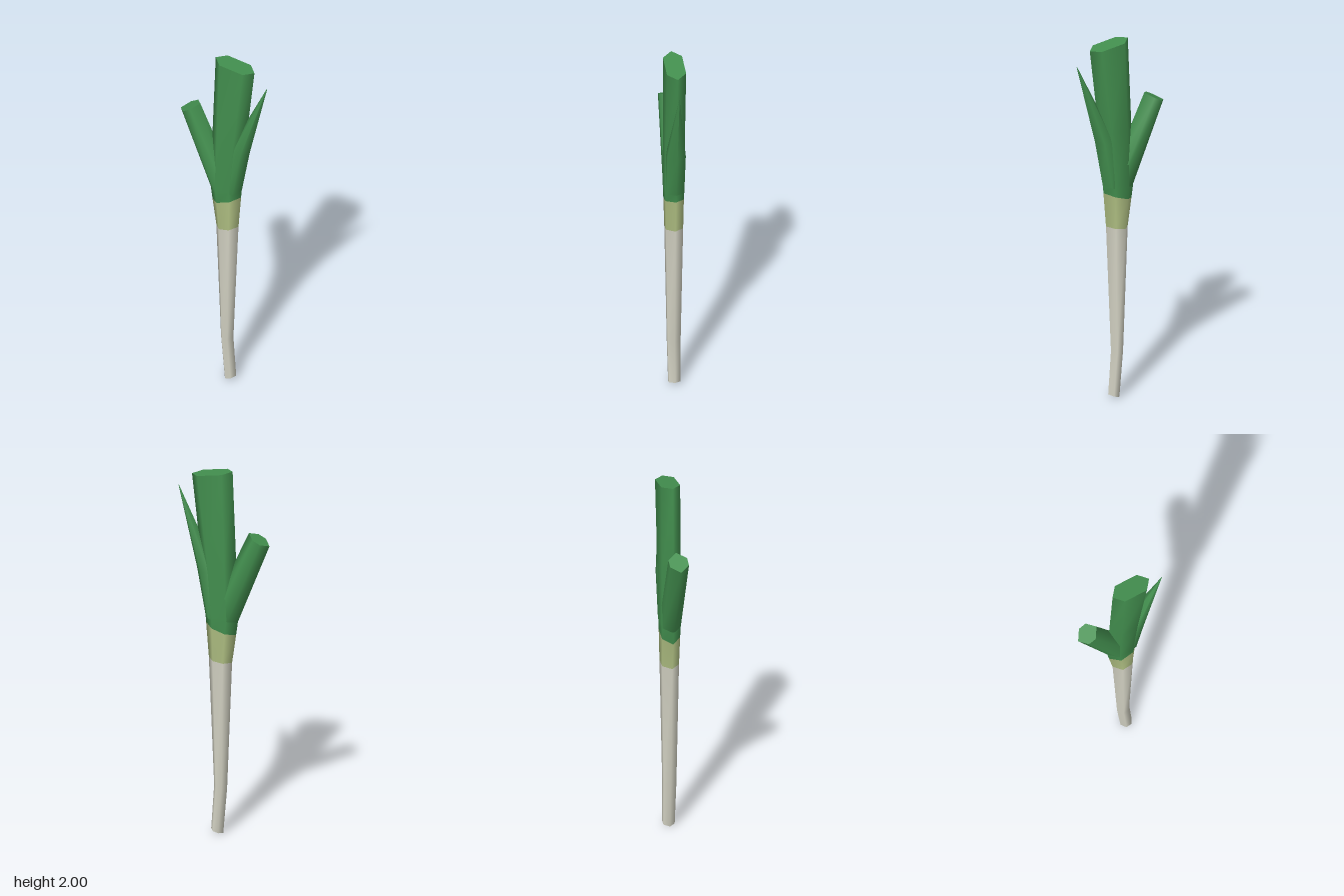
import * as THREE from 'three';

const mat = (name, color) => {
  const m = new THREE.MeshStandardMaterial({ color });
  m.name = name;
  return m;
};

// Six-sided cross-section between a left and a right point, chamfered to depth d around z
function ring([lx, ly, rx, ry, d, inset = 0.28, z = 0]) {
  const at = (t, dz) => [lx + (rx - lx) * t, ly + (ry - ly) * t, z + dz];
  return [at(0, 0), at(inset, d), at(1 - inset, d), at(1, 0), at(1 - inset, -d), at(inset, -d)];
}

// Smooth sides through all rings plus sharp flat caps; bands gives the material of each segment
function loft(name, sections, materials, bands) {
  const rings = sections.map(ring);
  const pos = rings.flat(2);
  const index = [];
  const geo = new THREE.BufferGeometry();
  const band = (i) => (bands ? bands[i] : 0);
  for (let i = 0; i < rings.length - 1; i++) {
    geo.addGroup(index.length, 36, band(i));
    for (let j = 0; j < 6; j++) {
      const a = i * 6 + j, b = i * 6 + (j + 1) % 6;
      index.push(a, b, b + 6, a, b + 6, a + 6);
    }
  }
  [rings[0], rings[rings.length - 1]].forEach((r, top) => {
    const base = pos.length / 3;
    pos.push(...r.flat());
    geo.addGroup(index.length, 12, band(top ? rings.length - 2 : 0));
    for (let j = 1; j < 5; j++) {
      if (top) index.push(base, base + j, base + j + 1);
      else index.push(base, base + j + 1, base + j);
    }
  });
  geo.setAttribute('position', new THREE.Float32BufferAttribute(pos, 3));
  geo.setIndex(index);
  geo.computeVertexNormals();
  const mesh = new THREE.Mesh(geo, materials);
  mesh.name = name;
  return mesh;
}

export function createModel() {
  const white = mat('stem white', 0xd6d5c6);
  const pale = mat('pale green', 0xb0c083);
  const green = mat('leaf green', 0x43904f);
  const group = new THREE.Group();
  group.name = 'leek';

  // Section values: left x, left y, right x, right y, half depth, chamfer, z offset
  group.add(
    // White stem, pale neck and the straight middle leaf
    loft('stalkAndMiddleLeaf', [
      [0.002, 0, 0.068, 0.02, 0.03],
      [-0.019, 0.25, 0.052, 0.26, 0.034],
      [-0.046, 0.945, 0.081, 0.965, 0.045],
      [-0.068, 1.1, 0.096, 1.155, 0.048],
      [-0.08, 1.19, 0.1, 1.21, 0.05],
      [-0.068, 1.5, 0.122, 1.5, 0.05, 0.25, 0.001],
      [-0.048, 2, 0.174, 1.965, 0.05, 0.2, 0.003],
    ], [white, pale, green], [0, 0, 1, 2, 2, 2]),

    // Cut-off leaf leaning to the right side
    loft('cutLeaf', [
      [-0.076, 1.17, 0.07, 1.22, 0.048],
      [-0.252, 1.615, -0.14, 1.675, 0.05, 0.32, -0.005],
    ], [green]),

    // Pointed leaf leaning to the left side
    loft('pointedLeaf', [
      [-0.01, 1.17, 0.1, 1.2, 0.047],
      [0.03, 1.44, 0.145, 1.45, 0.048],
      [0.246, 1.89, 0.249, 1.89, 0.001, 0.3, 0.007],
    ], [green]),
  );
  return group;
}
